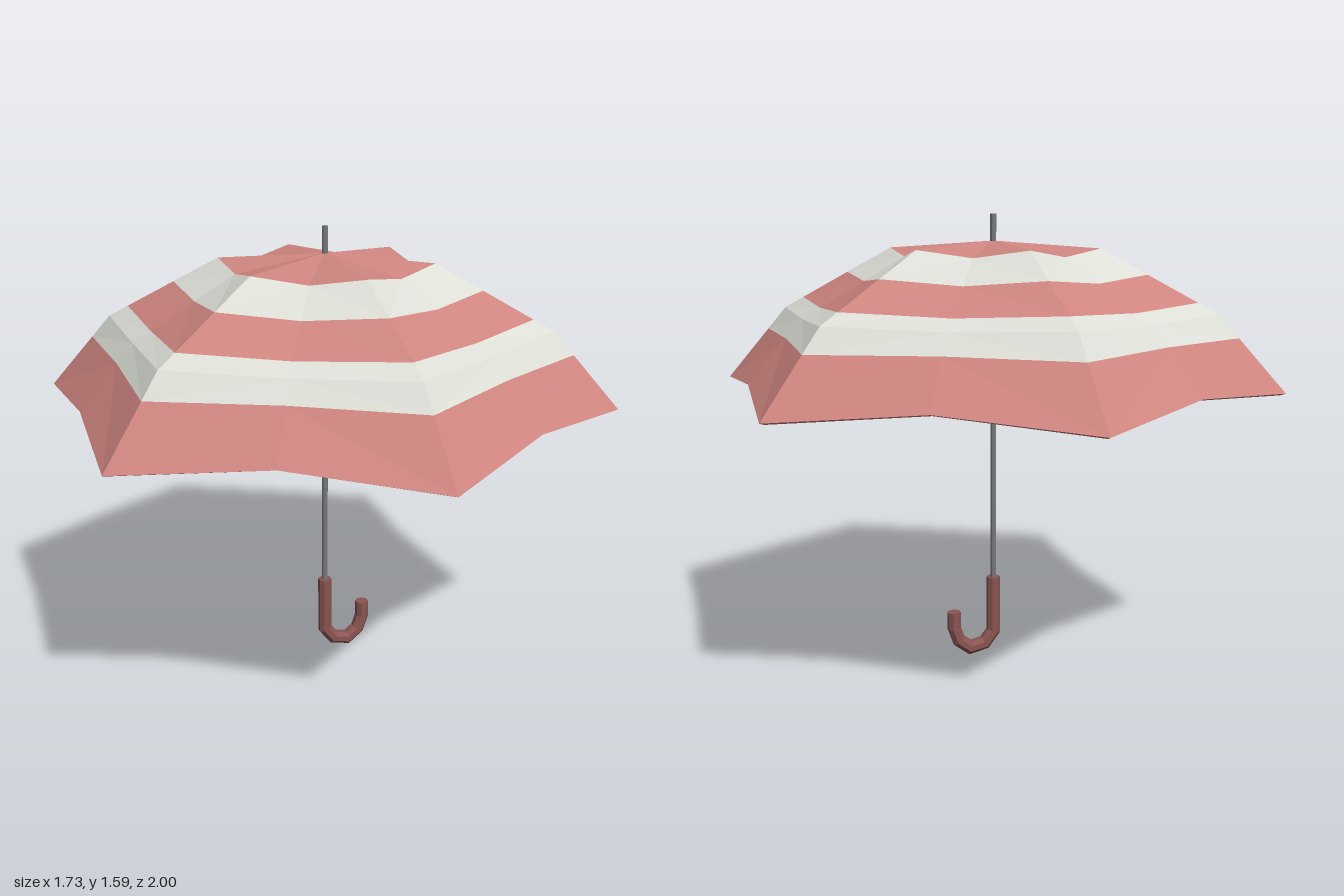
import * as THREE from 'three';

const mat = (color) => new THREE.MeshStandardMaterial({ color, flatShading: true });

// Skin a list of closed rings with flat faces
function loft(rings) {
  const pos = [];
  const tri = (a, b, c) => {
    if (a.distanceTo(b) < 1e-6 || b.distanceTo(c) < 1e-6 || a.distanceTo(c) < 1e-6) return;
    for (const p of [a, b, c]) pos.push(p.x, p.y, p.z);
  };
  for (let j = 0; j < rings.length - 1; j++) {
    const n = rings[j].length;
    for (let i = 0; i < n; i++) {
      const k = (i + 1) % n;
      const a = rings[j][i], b = rings[j + 1][i], c = rings[j + 1][k], d = rings[j][k];
      // Mirror the diagonals about each rib
      if (i % 2) { tri(a, b, c); tri(a, c, d); } else { tri(a, b, d); tri(b, c, d); }
    }
  }
  const g = new THREE.BufferGeometry();
  g.setAttribute('position', new THREE.Float32BufferAttribute(pos, 3));
  g.computeVertexNormals();
  return g;
}

// Canopy profiles as [radius, height]: along a rib, midway between ribs, and the cloth thickness
const RIB = [[0, 1.5], [0.37, 1.475], [0.77, 1.26], [1, 1]];
const MID = [[0, 1.5], [0.315, 1.45], [0.663, 1.25], [0.847, 1.04]];
const INSET = [[0, 0.02], [0.004, 0.02], [0.012, 0.016], [0.018, 0.006]];

function at(profile, s) {
  const i = Math.min(Math.floor(s), profile.length - 2), t = s - i;
  return [0, 1].map((k) => profile[i][k] * (1 - t) + profile[i + 1][k] * t);
}

// One ring of the canopy: 6 ribs alternating with 6 panel centres
function canopyRing(s, inner = false) {
  const [dr, dy] = inner ? at(INSET, s) : [0, 0];
  return Array.from({ length: 12 }, (_, i) => {
    const [r, y] = at(i % 2 ? MID : RIB, s);
    const a = (i * Math.PI) / 6;
    return new THREE.Vector3((r - dr) * Math.sin(a), y - dy, (r - dr) * Math.cos(a));
  });
}

// Rings of a mitred tube along a path in the XY plane, with closed ends
function tubeRings(path, radius, sides) {
  const pts = path.map(([x, y]) => new THREE.Vector2(x, y));
  const rings = [];
  const last = pts.length - 1;
  pts.forEach((p, j) => {
    const before = pts[Math.max(j, 1)].clone().sub(pts[Math.max(j, 1) - 1]).normalize();
    const e = Math.min(j, last - 1);
    const after = pts[e + 1].clone().sub(pts[e]).normalize();
    const t = before.clone().add(after).normalize();
    const miter = 1 / t.dot(after);
    const ring = (r) => Array.from({ length: sides }, (_, i) => {
      const a = ((i + 0.5) / sides) * Math.PI * 2;
      const u = Math.sin(a) * r * miter;
      return new THREE.Vector3(p.x - t.y * u, p.y + t.x * u, Math.cos(a) * r);
    });
    if (j === 0) rings.push(ring(0));
    rings.push(ring(radius));
    if (j === last) rings.push(ring(0));
  });
  return rings;
}

export function createModel() {
  const group = new THREE.Group();
  const red = mat(0xcf8580), white = mat(0xdcded6);
  const add = (parent, name, geometry, material) => {
    const mesh = new THREE.Mesh(geometry, material);
    mesh.name = name;
    parent.add(mesh);
    return mesh;
  };

  // Striped cloth
  const canopy = new THREE.Group();
  canopy.name = 'canopy';
  group.add(canopy);
  const stripes = [[0, 1], [1, 1.4], [1.4, 1.825], [1.825, 2, 2.3], [2.3, 3]];
  stripes.forEach((steps, i) => {
    add(canopy, `stripe${i + 1}`, loft(steps.map((s) => canopyRing(s))), i % 2 ? white : red);
  });

  // Hem and lining
  add(canopy, 'hem', loft([canopyRing(3), canopyRing(3, true)]), red);
  add(canopy, 'lining', loft([3, 2, 1, 0].map((s) => canopyRing(s, true))), red);

  // Shaft with its tip standing above the canopy
  const shaft = add(group, 'shaft', new THREE.CylinderGeometry(0.011, 0.011, 1.32, 8), mat(0x77797c));
  shaft.position.y = 0.93;

  // Hooked handle
  const hook = [[0, 0.29], [0, 0.083], [0.034, 0.039], [0.09, 0.027], [0.132, 0.059], [0.15, 0.11], [0.15, 0.17]];
  add(group, 'handle', loft(tubeRings(hook, 0.025, 8)), mat(0x8a5552));

  return group;
}
